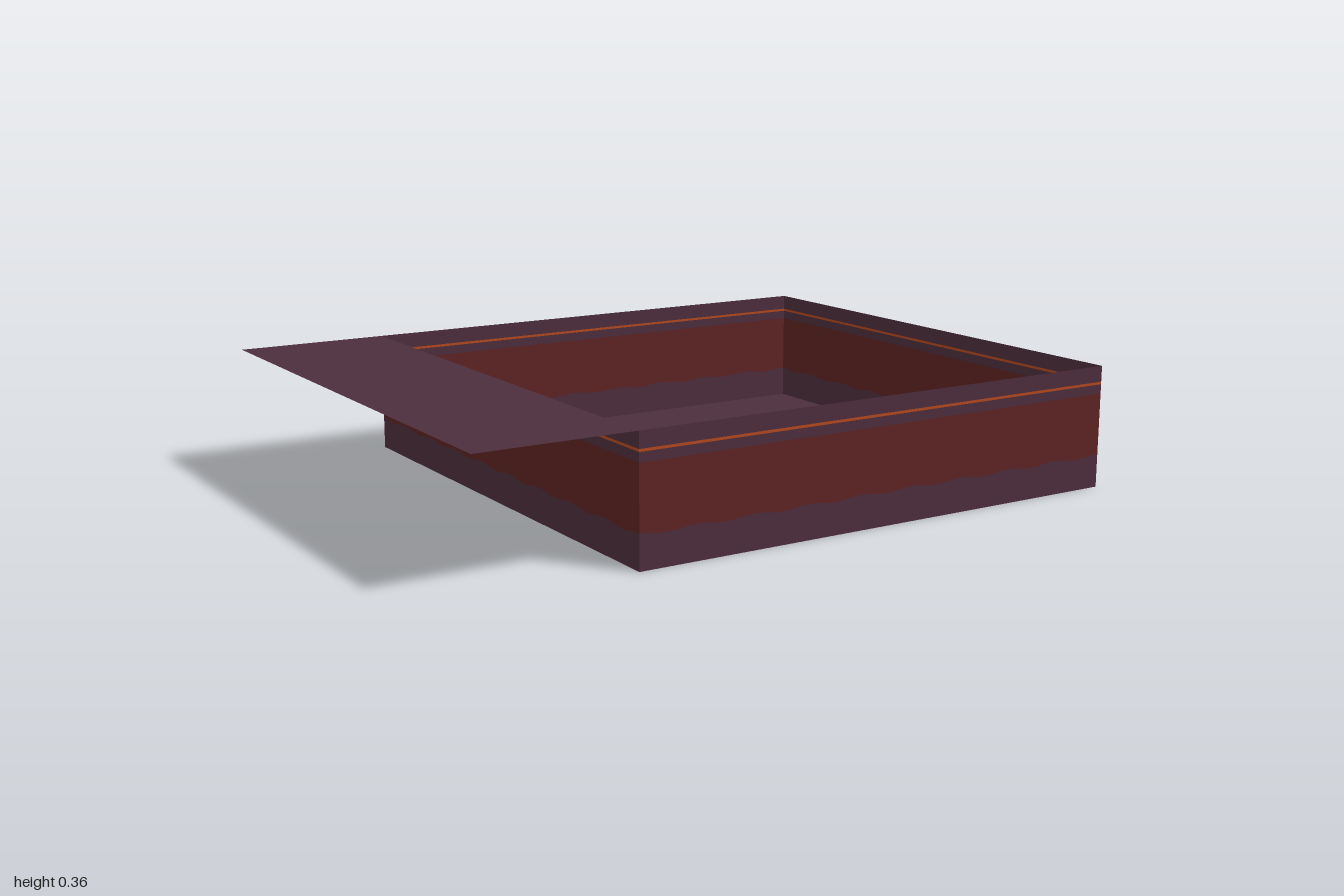
import * as THREE from 'three';

const mat = (name, color) => {
  const m = new THREE.MeshStandardMaterial({ color, side: THREE.DoubleSide });
  m.name = name;
  return m;
};

export function createModel() {
  const plum = mat('plum', 0x4d2e3c);
  const red = mat('darkRed', 0x5e2222);
  const orange = mat('orange', 0xb4481f);
  const SIZE = 1.55, HEIGHT = 0.357, CX = 0.225;

  // Horizontal band of a unit panel (x -0.5..0.5, y 0..1); edges are height functions
  const band = (low, high) => {
    const n = 72, pts = [];
    for (let i = 0; i <= n; i++) pts.push(new THREE.Vector2(i / n - 0.5, low(i / n)));
    for (let i = n; i >= 0; i--) pts.push(new THREE.Vector2(i / n - 0.5, high(i / n)));
    return new THREE.ShapeGeometry(new THREE.Shape(pts));
  };
  const flat = (y) => () => y;
  const wave = (t) => 0.265 + 0.011 * Math.cos(t * 9 * Math.PI * 2);
  const bands = [
    ['lowerBand', band(flat(0), wave), plum],
    ['redBand', band(wave, flat(0.775)), red],
    ['middleBand', band(flat(0.775), flat(0.85)), plum],
    ['orangeLine', band(flat(0.85), flat(0.871)), orange],
    ['rimBand', band(flat(0.871), flat(1)), plum],
  ];

  // Four banded panels around a square
  const bandedTube = (name, width, height) => {
    const tube = new THREE.Group();
    tube.name = name;
    for (let i = 0; i < 4; i++) {
      const side = new THREE.Group();
      side.name = name + 'Side';
      for (const [label, geometry, material] of bands) {
        const mesh = new THREE.Mesh(geometry, material);
        mesh.name = label;
        mesh.scale.set(width, height, 1);
        mesh.position.z = width / 2;
        side.add(mesh);
      }
      side.rotation.y = i * Math.PI / 2;
      tube.add(side);
    }
    return tube;
  };

  // Horizontal sheet
  const sheet = (name, w, d, x, y) => {
    const mesh = new THREE.Mesh(new THREE.PlaneGeometry(w, d).rotateX(-Math.PI / 2), plum);
    mesh.name = name;
    mesh.position.set(x, y, 0);
    return mesh;
  };

  const model = new THREE.Group();
  model.name = 'openRoom';

  // Walls, floor and the ledge outside the left-hand rim
  const walls = bandedTube('wall', SIZE, HEIGHT);
  walls.position.x = CX;
  model.add(walls, sheet('floor', SIZE, SIZE, CX, 0), sheet('ledge', 0.45, SIZE, -0.775, HEIGHT));

  // Square block leaning from the floor against the wall
  const T = 0.109, L = 0.32;
  const block = bandedTube('leaningBlock', T, L);
  block.add(sheet('blockFoot', T, T, 0, 0), sheet('blockTop', T, T, 0, L));
  block.position.set(-0.237, 0.05, 0);
  block.rotation.z = 1.129;
  model.add(block);

  return model;
}
